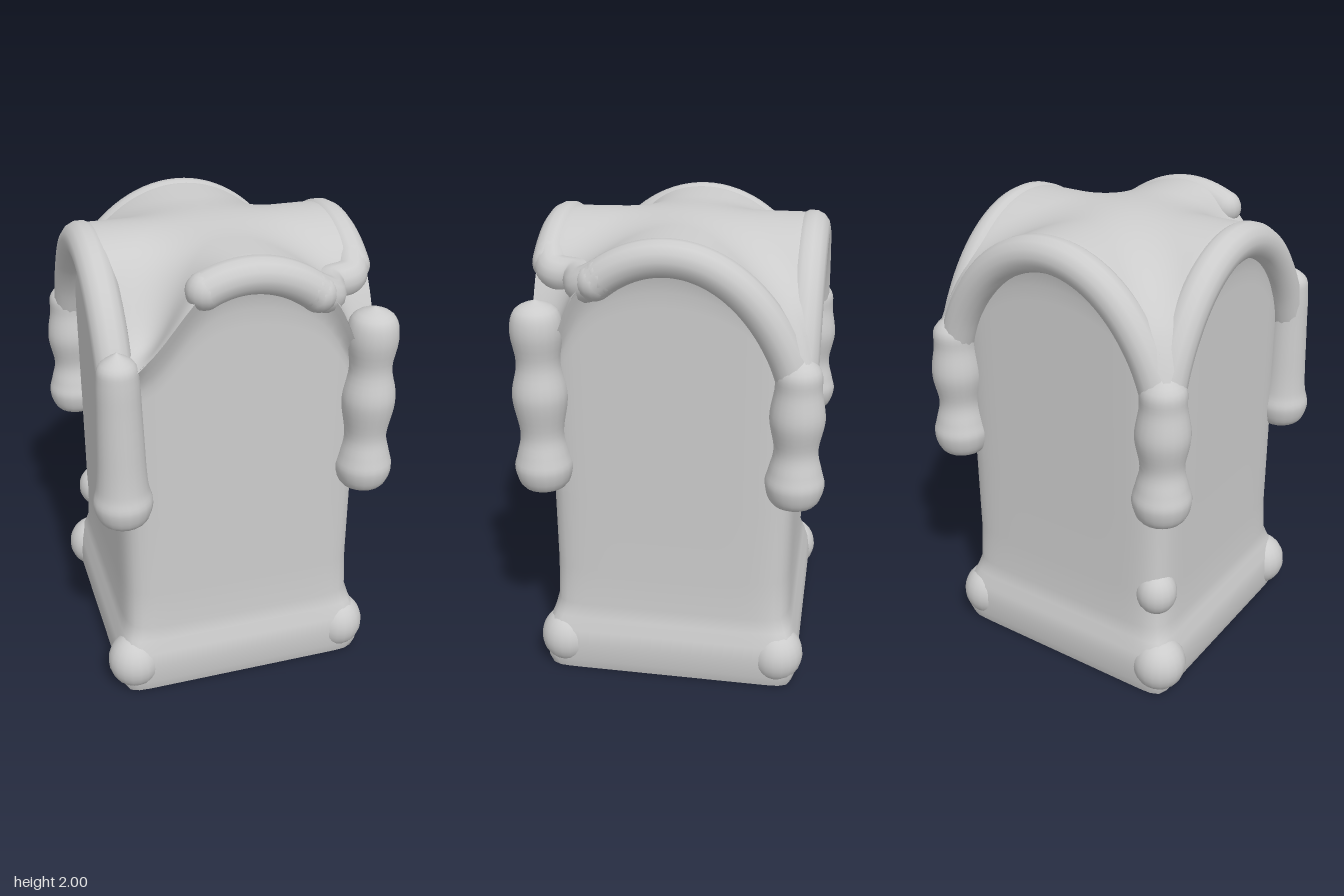
import * as THREE from 'three';
import { mergeVertices } from 'three/addons/utils/BufferGeometryUtils.js';

const mat = new THREE.MeshStandardMaterial({ color: 0xcccccc, side: THREE.DoubleSide });

function part(name, geometry, parent) {
  const mesh = new THREE.Mesh(geometry, mat);
  mesh.name = name;
  parent.add(mesh);
  return mesh;
}

// rounded arch height at distance t from the middle of a face
const archHeight = (t, rise, half) => 1.1 + rise * Math.sqrt(Math.max(0, 1 - (t / half) ** 2));

const dent = (x, z, cx, cz, depth, spread) =>
  depth * Math.exp(-((x - cx) ** 2 + (z - cz) ** 2) / spread);

// crossing vaults, softly joined, rounded at the rim, hollowed at the two front corners
function roofHeight(x, z) {
  const a = archHeight(x, 0.885, 0.63), b = archHeight(z, 0.885, 0.63);
  const k = 0.05 + 0.22 * Math.min(1, (x * x + z * z) / 0.5);
  const h = Math.max(k - Math.abs(a - b), 0) / k;
  const e = Math.max(0, Math.max(Math.abs(x), Math.abs(z)) - 0.48) / 0.11;
  const rim = 0.085 * (1 - Math.sqrt(Math.max(0, 1 - e * e)));
  return Math.max(a, b) + h * h * k / 4 - rim
    - dent(x, z, -0.38, 0.46, 0.17, 0.025) - dent(x, z, 0.52, 0.52, 0.2, 0.015);
}

function reshape(geometry, rule) {
  const p = geometry.attributes.position, v = new THREE.Vector3();
  for (let i = 0; i < p.count; i++) {
    v.fromBufferAttribute(p, i);
    rule(v);
    p.setXYZ(i, v.x, v.y, v.z);
  }
  geometry.deleteAttribute('uv');
  geometry.deleteAttribute('normal');
  const merged = mergeVertices(geometry, 1e-4);
  merged.computeVertexNormals();
  return merged;
}

// wall section from the floor up: height, half width, corner squareness
const wallRows = [[0, 0.55, 20], [0.05, 0.565, 20], [0.14, 0.57, 20], [0.2, 0.56, 18],
  [0.26, 0.537, 14], [0.32, 0.524, 11], [0.5, 0.52, 10], [0.85, 0.52, 10]];

function wallGeometry() {
  const rows = 24, last = wallRows.length - 1;
  return reshape(new THREE.CylinderGeometry(1, 1, 1, 128, rows, true), v => {
    const row = Math.round((v.y + 0.5) * rows);
    const above = Math.max(0, row - last) / (rows - last);
    const [y, half, n] = wallRows[Math.min(row, last)];
    // the top rows flare out to meet the roof rim
    const s = half + 0.05 * Math.max(0, above - 0.85) / 0.15;
    const q = s * Math.pow(Math.abs(v.x) ** n + Math.abs(v.z) ** n, -1 / n);
    v.x *= q;
    v.z *= q;
    v.y = above > 0 ? THREE.MathUtils.lerp(y, roofHeight(v.x, v.z), above) : y;
  });
}

function roofGeometry() {
  const g = new THREE.PlaneGeometry(1.14, 1.14, 64, 64);
  g.rotateX(-Math.PI / 2);
  return reshape(g, v => { v.y = roofHeight(v.x, v.z); });
}

// round band through a few points, closed with rounded ends
function band(name, pts, r, parent) {
  const group = new THREE.Group();
  group.name = name;
  part('bandTube', new THREE.TubeGeometry(new THREE.CatmullRomCurve3(pts), 48, r, 14), group);
  for (const p of [pts[0], pts[pts.length - 1]]) {
    part('bandEnd', new THREE.SphereGeometry(r, 16, 12), group).position.copy(p);
  }
  parent.add(group);
  return group;
}

// moulding that follows the arch of one face
function archMoulding(name, angle, from, to, parent) {
  const pts = [];
  for (let i = 0; i <= 16; i++) {
    const t = from + (to - from) * i / 16;
    pts.push(new THREE.Vector3(t, archHeight(t, 0.82, 0.565), 0.525));
  }
  band(name, pts, 0.075, parent).rotation.y = angle;
}

// lathe with a smooth profile of [radius, height] points
function turned(profile) {
  const curve = new THREE.SplineCurve(profile.map(([r, y]) => new THREE.Vector2(r, y)));
  const pts = curve.getPoints(40).map(p => new THREE.Vector2(Math.max(0, p.x), p.y));
  return new THREE.LatheGeometry(pts, 20);
}

const foot = [[0, 0.9], [0.09, 0.92], [0.122, 1.0], [0.108, 1.07], [0.09, 1.16], [0.112, 1.29]];
const joined = turned([...foot, [0.095, 1.41], [0.085, 1.5], [0, 1.58]]);
const plain = turned([...foot.slice(0, 4), [0.1, 1.16], [0.095, 1.29], [0.09, 1.42], [0.085, 1.55], [0.07, 1.62], [0, 1.67]]);
const broken = turned([...foot, [0.112, 1.36], [0.09, 1.47], [0.108, 1.6], [0.085, 1.69], [0, 1.73]]);

export function createModel() {
  const model = new THREE.Group();
  model.name = 'archedBlock';

  part('walls', wallGeometry(), model);
  part('vaultedRoof', roofGeometry(), model);

  // two full arches and two that stop short of the broken corner
  archMoulding('frontArch', 0, -0.18, 0.28, model);
  archMoulding('rightArch', Math.PI / 2, -0.28, 0.525, model);
  archMoulding('backArch', Math.PI, -0.525, 0.525, model);
  archMoulding('leftArch', -Math.PI / 2, -0.525, 0.525, model);

  // lip that joins the two short arches around the broken corner
  band('brokenCornerLip', [[0.25, 1.835, 0.525], [0.33, 1.79, 0.49], [0.38, 1.785, 0.38],
    [0.49, 1.79, 0.33], [0.525, 1.835, 0.25]].map(p => new THREE.Vector3(...p)), 0.075, model);

  // corner columns and base knobs
  for (const sx of [-1, 1]) {
    for (const sz of [-1, 1]) {
      const shape = sx > 0 && sz > 0 ? broken : sx < 0 && sz > 0 ? plain : joined;
      part('cornerColumn', shape, model).position.set(sx * 0.525, 0, sz * 0.525);

      const knob = part('baseKnob', new THREE.SphereGeometry(0.118, 20, 14), model);
      knob.position.set(sx < 0 ? -0.495 : 0.475, 0.13, sz * 0.475);
      knob.scale.y = 1.08;
    }
  }

  // small lump on one back edge
  const lump = part('edgeLump', new THREE.SphereGeometry(0.09, 18, 12), model);
  lump.position.set(-0.46, 0.48, -0.45);
  lump.scale.y = 1.15;

  return model;
}
